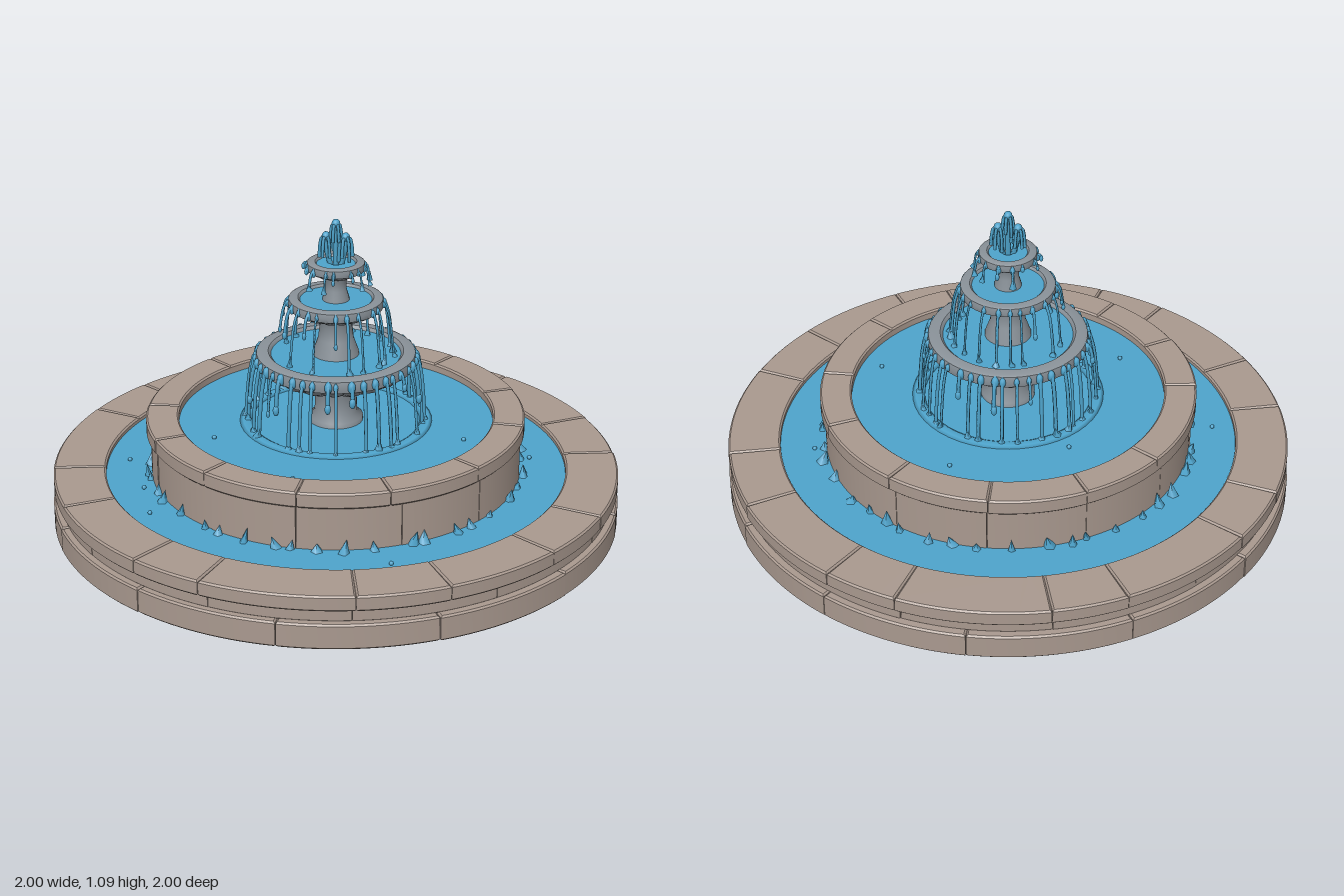
import * as THREE from 'three';
import { toCreasedNormals, mergeGeometries } from 'three/addons/utils/BufferGeometryUtils.js';

const DEG = Math.PI / 180;

export function createModel() {
  const root = new THREE.Group();
  root.name = 'fountain';
  const material = (name, color) => {
    const m = new THREE.MeshStandardMaterial({ color });
    m.name = name;
    return m;
  };
  const stone = material('warm stone', 0xa9998f);
  const grey = material('grey bowl stone', 0x8a9299);
  const water = material('water', 0x4ea4cc);

  // Small seeded generator for natural variation
  let seed = 7;
  const rnd = (a = 0, b = 1) => {
    seed = (seed * 16807) % 2147483647;
    return a + (b - a) * (seed / 2147483647);
  };
  const add = (name, geometry, mat) => {
    const mesh = new THREE.Mesh(geometry, mat);
    mesh.name = name;
    root.add(mesh);
    return mesh;
  };
  const merge = (list) => mergeGeometries(list.map((g) => (g.index ? g.toNonIndexed() : g)));
  const polar = (r, a, y) => new THREE.Vector3(r * Math.cos(a), y, -r * Math.sin(a));
  const lathe = (pts, sides = 64) =>
    new THREE.LatheGeometry(pts.map(([r, y]) => new THREE.Vector2(r, y)), sides);

  // Course of chamfered curved blocks between the given joint angles
  function course(name, r0, r1, y0, y1, angles) {
    const b = 0.006;
    const blocks = angles.map((start, i) => {
      const end = i + 1 < angles.length ? angles[i + 1] : angles[0] + 360;
      const gap = (b + 0.001) / r1;
      const a0 = start * DEG + gap, a1 = end * DEG - gap;
      const ro = r1 - b - rnd(0, 0.004), ri = r0 + b;
      const shape = new THREE.Shape();
      shape.absarc(0, 0, ro, a0, a1, false);
      shape.absarc(0, 0, ri, a1, a0, true);
      const g = new THREE.ExtrudeGeometry(shape, {
        depth: y1 - y0 - 2 * b, bevelEnabled: true, bevelSize: b, bevelThickness: b,
        bevelSegments: 1, curveSegments: 10,
      });
      g.rotateX(-Math.PI / 2);
      g.translate(0, y0 + b, 0);
      return toCreasedNormals(g, 0.5);
    });
    add(name, merge(blocks), stone);
  }
  const every = (step, offset) =>
    Array.from({ length: 360 / step }, (_, i) => offset + i * step + rnd(-2, 2));

  // Outer basin
  add('basinCore', toCreasedNormals(lathe([[0, 0.002], [0.985, 0.002], [0.985, 0.08], [0.958, 0.085],
    [0.958, 0.14], [0.978, 0.145], [0.978, 0.183], [0.822, 0.183], [0.822, 0.15], [0, 0.15]]), 0.5), stone);
  course('basinFootBlocks', 0.82, 1.0, 0, 0.09, every(30, 0));
  course('basinMiddleBlocks', 0.82, 0.972, 0.085, 0.14, every(30, 15));
  course('basinRimBlocks', 0.81, 0.995, 0.135, 0.19,
    [15, 33, 60, 75, 105, 120, 149, 165, 195, 213, 240, 255, 285, 303, 327, 345]);

  // Raised inner basin
  add('innerWallCore', toCreasedNormals(lathe([[0.638, 0.15], [0.638, 0.32], [0.652, 0.335],
    [0.652, 0.374], [0.563, 0.374], [0.563, 0.3]]), 0.5), stone);
  course('innerWallBlocks', 0.56, 0.65, 0.15, 0.332, every(30, 0));
  course('innerRimBlocks', 0.55, 0.665, 0.326, 0.382,
    [0, 28, 60, 91, 120, 146, 187, 213, 240, 270, 297, 327]);

  // Pool surfaces
  const pool = (name, r0, r1, y) => {
    const g = new THREE.RingGeometry(r0, r1, 64, 1);
    g.rotateX(-Math.PI / 2);
    add(name, g, water).position.y = y;
  };
  pool('outerPool', 0.6, 0.83, 0.172);
  pool('innerPool', 0.02, 0.57, 0.352);

  // Columns, with flared feet and necks
  add('lowerColumn', lathe([[0.095, 0.33], [0.095, 0.37], [0.075, 0.385], [0.072, 0.46], [0.1, 0.51]], 24), grey);
  add('middleColumn', lathe([[0.085, 0.56], [0.08, 0.61], [0.062, 0.66], [0.056, 0.71], [0.075, 0.75]], 24), grey);
  add('upperColumn', lathe([[0.05, 0.77], [0.046, 0.81], [0.037, 0.84], [0.037, 0.87], [0.05, 0.9]], 20), grey);

  // Bowl with petal ribs on its underside and a broad rounded lip
  function bowl(name, r, top, depth, lip, ribs) {
    const b = top - depth;
    const inner = r - lip * 1.2;
    const g = lathe([[0.02, b], [r * 0.32, b], [r * 0.62, b + depth * 0.17], [r * 0.84, b + depth * 0.4],
      [r * 0.94, top - lip * 1.15], [r * 0.985, top - lip], [r, top - lip * 0.55], [r * 0.985, top - lip * 0.1],
      [r * 0.95, top], [inner + lip * 0.2, top], [inner, top - lip * 0.2], [inner - lip * 0.1, top - lip * 0.8],
      [0.02, top - lip * 0.85]], ribs * 6);
    const p = g.attributes.position;
    for (let i = 0; i < p.count; i++) {
      const x = p.getX(i), y = p.getY(i), z = p.getZ(i);
      if (y > top - lip * 1.05 || y < b + 0.001) continue;
      const k = 0.93 + 0.08 * Math.abs(Math.sin(Math.atan2(z, x) * ribs / 2));
      p.setXYZ(i, x * k, y, z * k);
    }
    add(name, toCreasedNormals(g, 0.7), grey);
    pool(name + 'Water', 0.02, inner + lip * 0.05, top - lip * 0.25);
  }
  bowl('lowerBowl', 0.28, 0.612, 0.125, 0.045, 20);
  bowl('middleBowl', 0.165, 0.81, 0.08, 0.034, 14);
  bowl('topBowl', 0.1, 0.94, 0.06, 0.028, 10);

  const drop = (v, r, sy = 1) => {
    const g = new THREE.IcosahedronGeometry(r, 1);
    g.scale(1, sy, 1);
    return g.translate(v.x, v.y, v.z);
  };
  const spike = (v, r, h) => {
    const g = new THREE.ConeGeometry(r, h, 5);
    g.rotateZ(rnd(-0.35, 0.35));
    g.rotateY(rnd(0, 6));
    return g.translate(v.x, v.y + h / 2 - 0.004, v.z);
  };
  const tube = (pts, r, n = 10) =>
    new THREE.TubeGeometry(new THREE.CatmullRomCurve3(pts), n, r, 5);

  // Streams leaving the outer edge of a bowl lip, some breaking off early
  function streams(name, count, r, top, r2, bottom, thick) {
    const parts = [];
    for (let i = 0; i < count; i++) {
      const a = ((i + rnd(-0.25, 0.25)) / count) * Math.PI * 2;
      const full = rnd() < 0.75;
      const end = full ? bottom : top - (top - bottom) * rnd(0.2, 0.6);
      const t = Math.sqrt((top - end) / (top - bottom));
      const rEnd = r + (r2 - r) * t + rnd(-0.006, 0.006);
      const w = thick * rnd(0.75, 1.2);
      parts.push(tube([polar(r * 0.97, a, top), polar(r * 1.005, a, top - 0.006),
        polar(r + (rEnd - r) * 0.5, a, top - (top - end) * 0.25),
        polar(r + (rEnd - r) * 0.8, a, top - (top - end) * 0.6), polar(rEnd, a, end)], w));
      parts.push(drop(polar(r, a, top - 0.016), w * 1.7, 1.7));
      if (full) parts.push(spike(polar(rEnd, a, bottom), w * 2.6, rnd(0.025, 0.05)));
      else parts.push(drop(polar(rEnd, a, end), w * 1.4, 1.8));
    }
    add(name, merge(parts), water);
  }
  streams('lowerStreams', 42, 0.28, 0.604, 0.312, 0.352, 0.0068);
  streams('middleStreams', 22, 0.165, 0.804, 0.2, 0.602, 0.005);
  streams('topStreams', 14, 0.1, 0.934, 0.118, 0.865, 0.0048);

  // Ripple where the lower streams land
  const ripple = new THREE.TorusGeometry(0.315, 0.022, 6, 48);
  ripple.rotateX(Math.PI / 2);
  ripple.scale(1, 0.35, 1);
  add('landingRipple', ripple, water).position.y = 0.352;

  // Crown jets: a tall centre spout between two shorter ones
  const jets = [];
  for (const [x, h, reach] of [[0, 1.085, 0.02], [-0.034, 1.038, 0.024], [0.034, 1.038, 0.024]]) {
    jets.push(tube([new THREE.Vector3(x * 0.5, 0.92, 0), new THREE.Vector3(x, h - 0.04, 0),
      new THREE.Vector3(x, h - 0.005, 0)], 0.01));
    jets.push(drop(new THREE.Vector3(x, h - 0.009, 0), 0.015, 1.1));
    for (let i = 0; i < 6; i++) {
      const a = (i / 6) * Math.PI * 2 + 0.2;
      const at = (r, y) => polar(r, a, y).add(new THREE.Vector3(x, 0, 0));
      jets.push(tube([at(0, h - 0.012), at(reach * 0.5, h - 0.008), at(reach * 0.85, h - 0.035),
        at(reach, h - rnd(0.06, 0.1))], 0.006, 8));
    }
  }
  add('crownJets', merge(jets), water);

  // Splashes along the inner wall and stray drops on the pools
  const splashes = [];
  for (let i = 0; i < 44; i++) {
    const a = ((i + rnd(-0.4, 0.4)) / 44) * Math.PI * 2;
    splashes.push(spike(polar(0.658 + rnd(-0.005, 0.008), a, 0.17), rnd(0.014, 0.026), rnd(0.03, 0.06)));
  }
  for (let i = 0; i < 5; i++) {
    splashes.push(drop(polar(rnd(0.69, 0.78), rnd(0, 6.28), 0.178), 0.008));
    splashes.push(drop(polar(rnd(0.38, 0.52), rnd(0, 6.28), 0.357), 0.008));
  }
  add('splashes', merge(splashes), water);

  return root;
}
